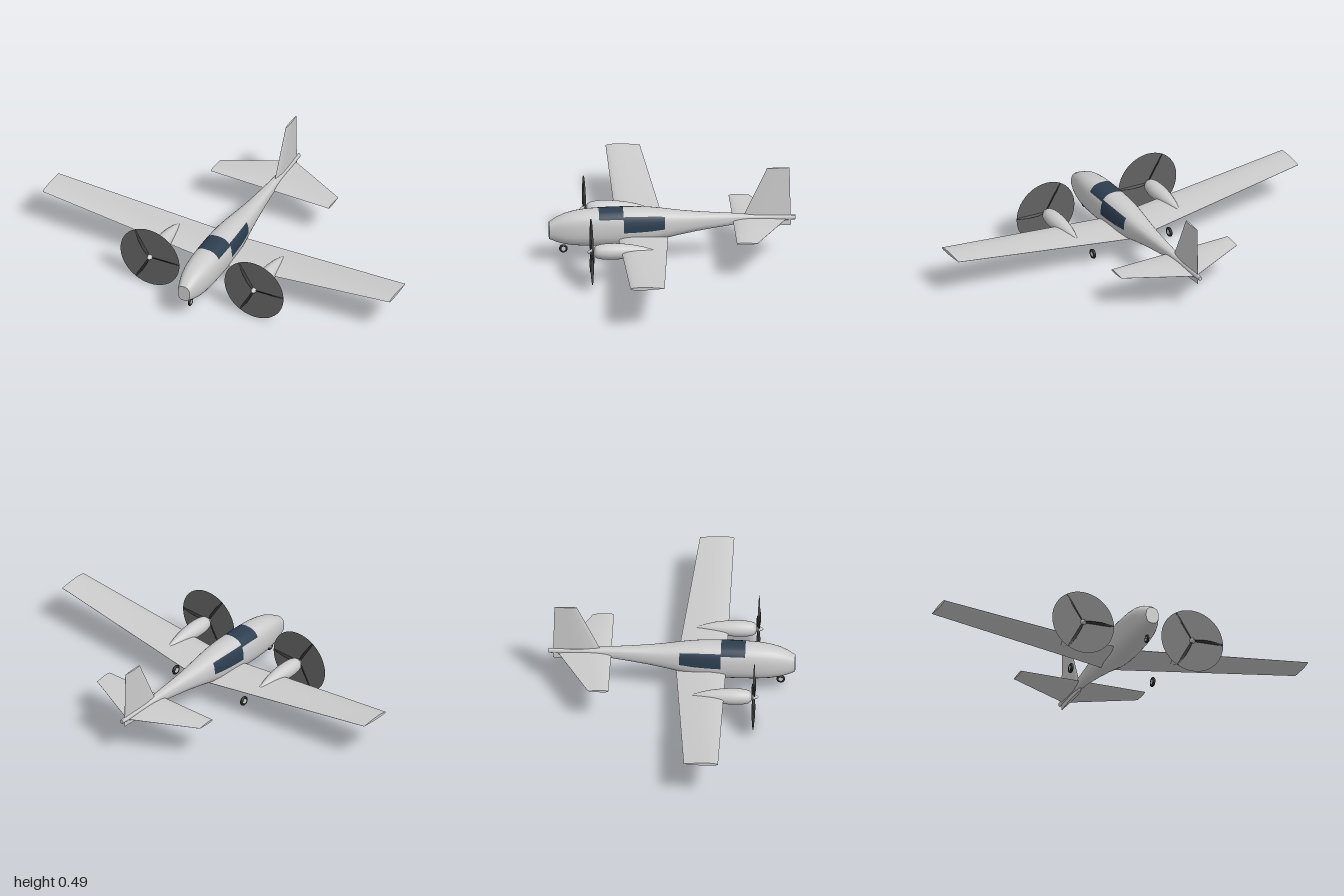
import * as THREE from 'three';
import { toCreasedNormals } from 'three/addons/utils/BufferGeometryUtils.js';

const V = (x, y, z) => new THREE.Vector3(x, y, z);

function paint(name, color, side = THREE.FrontSide) {
  const m = new THREE.MeshStandardMaterial({ color, side });
  m.name = name;
  return m;
}

function add(parent, name, geometry, material) {
  const mesh = new THREE.Mesh(geometry, material);
  mesh.name = name;
  parent.add(mesh);
  return mesh;
}

// Closed skin over a row of rings; pick(i, j) gives the material slot of a quad
function loft(rings, crease = 0.7, pick = () => 0) {
  const n = rings[0].length;
  const points = rings.flat();
  const faces = [[], []];
  for (let i = 0; i < rings.length - 1; i++) {
    for (let j = 0; j < n; j++) {
      const a = i * n + j, b = i * n + (j + 1) % n;
      faces[pick(i, j)].push([a, b, a + n], [b, b + n, a + n]);
    }
  }
  for (const end of [0, rings.length - 1]) {
    const c = points.length;
    points.push(rings[end].reduce((s, p) => s.add(p), V(0, 0, 0)).divideScalar(n));
    for (let j = 0; j < n; j++) {
      const a = end * n + j, b = end * n + (j + 1) % n;
      faces[0].push(end ? [a, b, c] : [b, a, c]);
    }
  }
  // Turn the skin outward if its enclosed volume is negative
  let volume = 0;
  for (const [a, b, c] of faces.flat()) volume += points[a].dot(points[b].clone().cross(points[c]));
  if (volume < 0) faces.flat().forEach((f) => f.reverse());

  const geo = new THREE.BufferGeometry().setFromPoints(points);
  geo.setIndex(faces.flat(2));
  geo.addGroup(0, faces[0].length * 3, 0);
  geo.addGroup(faces[0].length * 3, faces[1].length * 3, 1);
  const creased = toCreasedNormals(geo, crease);
  if (!faces[1].length) creased.clearGroups();
  return creased;
}

// Airfoil outline: fraction along the chord, fraction of the thickness
const FOIL = [[1, 0.03], [0.75, 0.27], [0.5, 0.45], [0.3, 0.5], [0.12, 0.38], [0.03, 0.18], [0, 0],
  [0.03, -0.16], [0.12, -0.3], [0.3, -0.4], [0.5, -0.35], [0.75, -0.2], [1, -0.03]];

// Each section: leading point, chord vector, thickness vector
const foilLoft = (sections) => loft(sections.map(([lead, chord, thick]) =>
  FOIL.map(([c, t]) => lead.clone().addScaledVector(chord, c).addScaledVector(thick, t))));

const lathe = (profile, segments = 28) =>
  new THREE.LatheGeometry(profile.map(([r, y]) => new THREE.Vector2(r, y)), segments);

export function createModel() {
  const model = new THREE.Group();
  model.name = 'twinPropellerPlane';
  const body = paint('bodyGrey', 0xcccccc);
  const glass = paint('windowBlue', 0x2c3e50);
  const discGrey = paint('propellerDiscGrey', 0x626262, THREE.DoubleSide);
  const blade = paint('bladeGrey', 0x333333);
  const rubber = paint('tyreBlack', 0x222222);

  // Fuselage stations: z, top, bottom, half width
  const stations = [
    [0.63, 0.221, 0.134, 0.034], [0.59, 0.246, 0.118, 0.049], [0.55, 0.264, 0.107, 0.06],
    [0.5, 0.277, 0.1, 0.069], [0.44, 0.285, 0.097, 0.075], [0.377, 0.289, 0.096, 0.077],
    [0.31, 0.291, 0.097, 0.078], [0.252, 0.291, 0.098, 0.078], [0.18, 0.29, 0.102, 0.076],
    [0.11, 0.286, 0.11, 0.071], [0.04, 0.278, 0.126, 0.063], [-0.03, 0.268, 0.142, 0.054],
    [-0.12, 0.259, 0.159, 0.043], [-0.22, 0.252, 0.175, 0.033], [-0.32, 0.246, 0.189, 0.025],
    [-0.44, 0.239, 0.198, 0.017], [-0.63, 0.23, 0.207, 0.008]];
  // Heights of the skin seams, from roof (1) to keel (-1)
  const levels = [0.99, 0.94, 0.85, 0.72, 0.6, 0.4, 0.15, -0.14, -0.4, -0.6, -0.78, -0.9, -0.97];
  const power = 2.6;
  const half = levels.map((v) => [Math.pow(1 - Math.pow(Math.abs(v), power), 1 / power), v]);
  const section = [[0, 1], ...half, [0, -1], ...half.slice().reverse().map(([x, v]) => [-x, v])];
  const rings = stations.map(([z, top, bottom, w]) => section.map(([x, v]) =>
    V(x * w, (top + bottom) / 2 + v * (top - bottom) / 2, z)));
  // Windshield wraps over the roof; side windows sit behind it and reach lower
  const pick = (i, j) => {
    const v = (section[j][1] + section[(j + 1) % section.length][1]) / 2;
    const z = (stations[i][0] + stations[i + 1][0]) / 2;
    const windshield = z < 0.377 && z > 0.252 && v > 0.6;
    const sideWindow = z < 0.252 && z > 0.04 && v < 0.72 && v > -0.14;
    return windshield || sideWindow ? 1 : 0;
  };
  add(model, 'fuselage', loft(rings, 0.7, pick), [body, glass]);

  // Wing with dihedral, straight leading edge and tapered trailing edge
  add(model, 'wing', foilLoft([-1, 0, 1].map((x) => {
    const s = Math.abs(x);
    return [V(x, 0.135 + 0.104 * s, 0.277), V(0, 0, -0.257 + 0.082 * s), V(0, 0.034 - 0.015 * s, 0)];
  })), body);

  // Tailplane and fin
  add(model, 'tailplane', foilLoft([-0.34, 0, 0.34].map((x) => {
    const s = Math.abs(x) / 0.34;
    return [V(x, 0.211, -0.31), V(0, 0, -0.275 + 0.17 * s), V(0, 0.026 - 0.012 * s, 0)];
  })), body);
  add(model, 'tailFin', foilLoft([
    [V(0, 0.177, -0.338), V(0, 0, -0.269), V(0.02, 0, 0)],
    [V(0, 0.49, -0.485), V(0, 0, -0.115), V(0.011, 0, 0)]]), body);

  // Propeller blade along +x, pitched and tapered
  const bladeGeo = foilLoft([[0.004, 0.014, 0.9], [0.05, 0.026, 0.85], [0.11, 0.024, 0.7], [0.167, 0.008, 0.55]]
    .map(([r, chord, pitch]) => {
      const along = V(0, Math.cos(pitch), Math.sin(pitch));
      return [V(r, 0, 0).addScaledVector(along, -chord / 2), along.clone().multiplyScalar(chord),
        V(0, -along.z, along.y).multiplyScalar(0.006)];
    }));
  const nacelleGeo = lathe([[0, 0.105], [0.009, 0.125], [0.021, 0.165], [0.031, 0.21], [0.038, 0.26],
    [0.042, 0.31], [0.042, 0.345], [0.039, 0.38], [0.033, 0.405], [0.022, 0.418], [0, 0.421]]);
  const spinnerGeo = lathe([[0, 0.415], [0.016, 0.416], [0.015, 0.43], [0.009, 0.447], [0, 0.456]]);

  // Engines
  for (const side of [-1, 1]) {
    const engine = new THREE.Group();
    engine.name = side > 0 ? 'leftEngine' : 'rightEngine';
    engine.position.set(0.3 * side, 0.172, 0);
    model.add(engine);
    add(engine, 'nacelle', nacelleGeo, body).rotation.x = Math.PI / 2;
    add(engine, 'spinner', spinnerGeo, body).rotation.x = Math.PI / 2;
    add(engine, 'propellerDisc', new THREE.CircleGeometry(0.17, 48), discGrey).position.z = 0.43;
    for (let k = 0; k < 3; k++) {
      const b = add(engine, 'propellerBlade', bladeGeo, blade);
      b.position.z = 0.43;
      b.rotation.z = 0.03 + k * Math.PI * 2 / 3;
    }
  }

  // Wheels: tyre with a pale hub
  const wheel = (name, x, y, z, r) => {
    const g = new THREE.Group();
    g.name = name;
    g.position.set(x, y, z);
    g.rotation.y = Math.PI / 2;
    add(g, 'tyre', new THREE.TorusGeometry(r * 0.7, r * 0.3, 12, 28), rubber);
    add(g, 'hub', new THREE.CylinderGeometry(r * 0.55, r * 0.55, r * 0.45, 20), body).rotation.x = Math.PI / 2;
    model.add(g);
  };
  wheel('noseWheel', 0, 0.076, 0.556, 0.022);
  wheel('leftWheel', 0.225, 0.08, 0.077, 0.026);
  wheel('rightWheel', -0.225, 0.08, 0.077, 0.026);

  return model;
}
